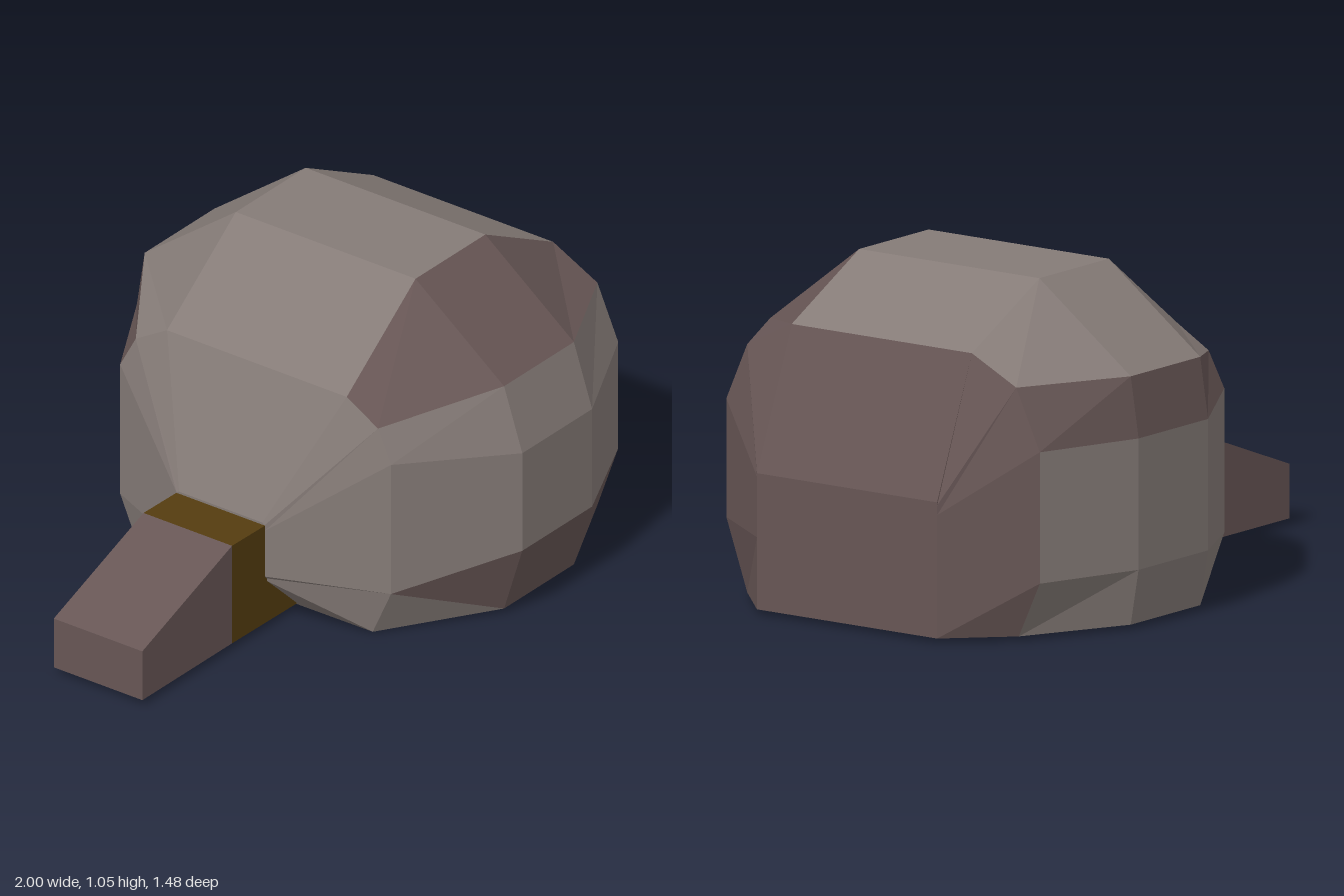
import * as THREE from 'three';

const material = (name, color) => {
  const m = new THREE.MeshStandardMaterial({ color, flatShading: true });
  m.name = name;
  return m;
};

// Faces are fans of corner points, counter-clockwise from outside
function faceMesh(name, faces, mat) {
  const pos = [];
  for (const f of faces) {
    for (let i = 1; i < f.length - 1; i++) pos.push(...f[0], ...f[i], ...f[i + 1]);
  }
  const geo = new THREE.BufferGeometry();
  geo.setAttribute('position', new THREE.Float32BufferAttribute(pos, 3));
  geo.computeVertexNormals();
  const mesh = new THREE.Mesh(geo, mat);
  mesh.name = name;
  return mesh;
}

export function createModel() {
  const group = new THREE.Group();
  group.name = 'roundedHeadWithHandle';
  const light = material('light grey brown', 0x857b77);
  const dark = material('dark grey brown', 0x675655);
  const brown = material('ochre brown', 0x553d10);

  // Cross-sections [z, y] from the front bottom edge, over the top, to the back bottom edge
  const full = [[0.67, 0.015], [0.74, 0.24], [0.74, 0.58], [0.67, 0.79], [0.33, 1.05],
    [-0.36, 1.05], [-0.71, 0.79], [-0.74, 0.6], [-0.74, 0.19], [-0.71, 0.015]];
  const sections = [
    [-0.385, [[0.13, 0.17], [0.15, 0.18], [0.15, 0.34], [0.15, 0.36], [0.14, 0.365],
      [-0.18, 0.365], [-0.19, 0.36], [-0.19, 0.34], [-0.19, 0.18], [-0.17, 0.17]]],
    [-0.21, [[0.43, 0.005], [0.5, 0.16], [0.5, 0.61], [0.45, 0.72], [0.33, 0.79],
      [-0.36, 0.79], [-0.48, 0.72], [-0.54, 0.61], [-0.54, 0.16], [-0.47, 0]]],
    [0.135, full],
    [0.485, full],
    [0.825, [[0.5, 0.015], [0.58, 0.24], [0.58, 0.61], [0.5, 0.79], [0.33, 0.875],
      [-0.36, 0.875], [-0.53, 0.79], [-0.62, 0.6], [-0.62, 0.19], [-0.54, 0.015]]],
    [1, [[0.33, 0.015], [0.33, 0.24], [0.33, 0.4], [0.33, 0.43], [0.33, 0.44],
      [-0.36, 0.44], [-0.36, 0.43], [-0.36, 0.4], [-0.36, 0.19], [-0.36, 0.015]]],
  ].map(([x, loop]) => loop.map(([z, y]) => [x, y, z]));

  // Head: strips between neighbouring sections, sorted by colour
  const lightFaces = [], darkFaces = [];
  const darkStrips = [0, 3, 6];
  for (let i = 0; i < 5; i++) {
    for (let k = 0; k < 10; k++) {
      const n = (k + 1) % 10;
      const a = sections[i][k], b = sections[i + 1][k];
      const c = sections[i + 1][n], d = sections[i][n];
      const isDark = k !== 9 && (i === 4 || (i > 0 && darkStrips.includes(k)));
      if (i === 1 && k === 0) {
        lightFaces.push([a, b, d]);
        darkFaces.push([b, c, d]);
      } else {
        (isDark ? darkFaces : lightFaces).push([a, b, c, d]);
      }
    }
  }
  // Flat ends of the head
  lightFaces.push(sections[0]);
  darkFaces.push([...sections[5]].reverse());
  group.add(faceMesh('headLightFacets', lightFaces, light));
  group.add(faceMesh('headDarkFacets', darkFaces, dark));

  // Neck and tapered handle, extruded across z
  const bar = (name, outline, mat) => {
    const shape = new THREE.Shape(outline.map(([x, y]) => new THREE.Vector2(x, y)));
    const geo = new THREE.ExtrudeGeometry(shape, { depth: 0.34, bevelEnabled: false });
    geo.translate(0, 0, -0.19);
    const mesh = new THREE.Mesh(geo, mat);
    mesh.name = name;
    group.add(mesh);
  };
  bar('neck', [[-0.55, 0.02], [-0.2, 0.016], [-0.2, 0.355], [-0.55, 0.36]], brown);
  bar('handle', [[-1, 0.02], [-0.55, 0.02], [-0.55, 0.36], [-1, 0.19]], dark);

  return group;
}
